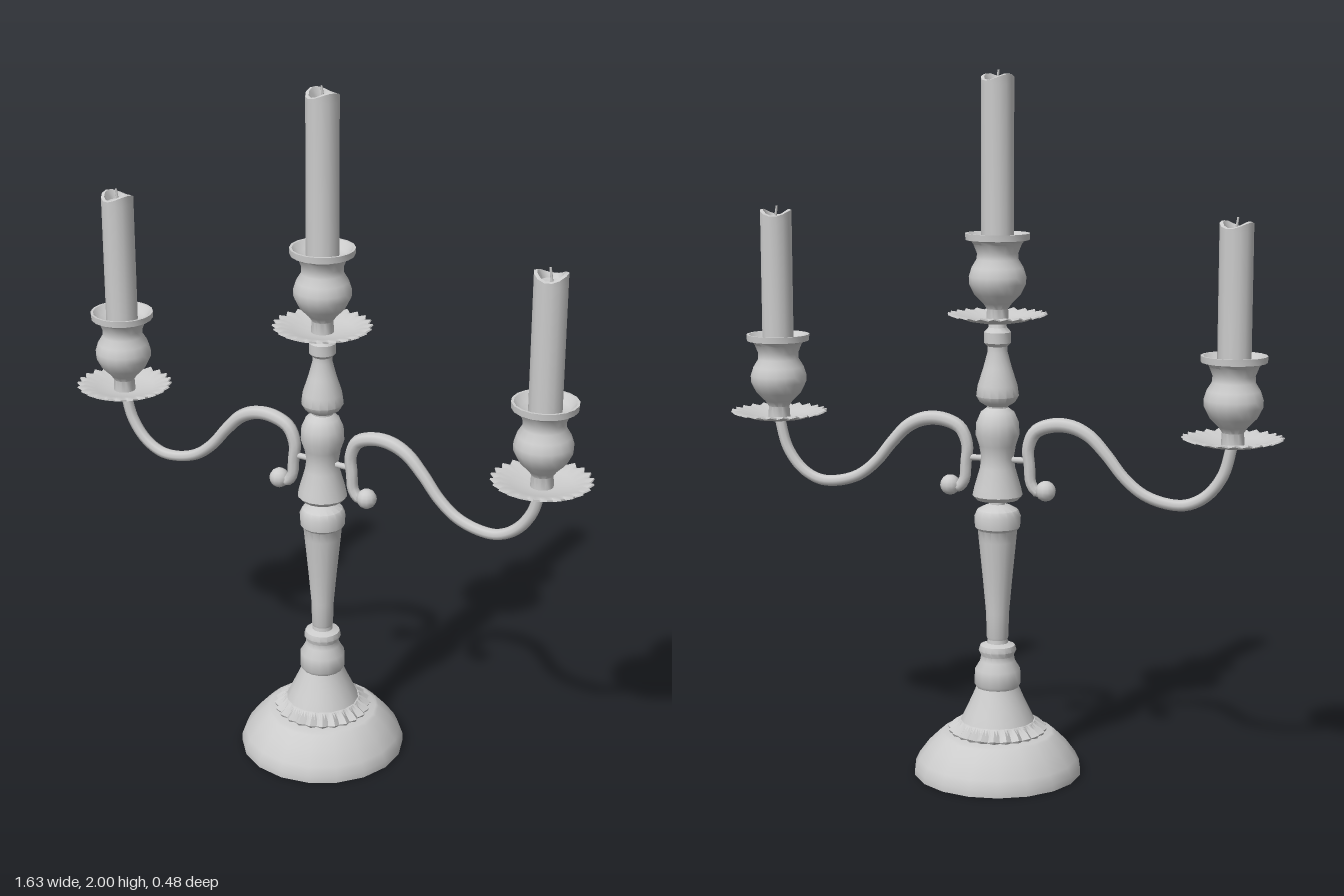
import * as THREE from 'three';
import { toCreasedNormals } from 'three/addons/utils/BufferGeometryUtils.js';

const metal = new THREE.MeshStandardMaterial({ color: 0xcccccc });
const thin = new THREE.MeshStandardMaterial({ color: 0xcccccc, side: THREE.DoubleSide });

function add(parent, name, geometry, material = metal) {
  const mesh = new THREE.Mesh(geometry, material);
  mesh.name = name;
  parent.add(mesh);
  return mesh;
}

// Turned shape from [radius, height] pairs, listed bottom to top
function lathe(profile, sides = 16) {
  return new THREE.LatheGeometry(profile.map(([r, y]) => new THREE.Vector2(r, y)), sides);
}
const turned = (profile, sides) => toCreasedNormals(lathe(profile, sides), 0.7);

// Move each vertex of a geometry by a rule
function reshape(geometry, rule) {
  const p = geometry.attributes.position;
  const v = new THREE.Vector3();
  for (let i = 0; i < p.count; i++) {
    v.fromBufferAttribute(p, i);
    rule(v);
    p.setXYZ(i, v.x, v.y, v.z);
  }
  return geometry;
}

// Turned ring whose rim beyond radius r0 is pulled into teeth
function scalloped(profile, r0, teeth, depth) {
  const g = reshape(lathe(profile, teeth * 4), v => {
    const r = Math.hypot(v.x, v.z);
    if (r < r0) return;
    const wave = 0.5 - 0.5 * Math.cos(Math.atan2(v.z, v.x) * teeth);
    const k = 1 - depth * wave;
    v.set(v.x * k, v.y - 0.006 * wave, v.z * k);
  });
  return toCreasedNormals(g, 0.6);
}

// Candle with an uneven, hollowed top and a short wick
function candle(bottom, top, phase) {
  const group = new THREE.Group();
  group.name = 'candle';
  const r = 0.046;
  const wax = lathe([[0, bottom], [r, bottom], [r, top - 0.03], [r, top - 0.01],
    [r * 0.8, top - 0.008], [r * 0.6, top - 0.026], [0, top - 0.03]], 14);
  reshape(wax, v => {
    const d = Math.hypot(v.x, v.z);
    if (v.y > top - 0.02 && d > r * 0.7) {
      v.y += 0.009 * Math.sin(2 * Math.atan2(v.z, v.x) + phase);
    }
  });
  add(group, 'wax', toCreasedNormals(wax, 0.7));
  const wick = add(group, 'wick', new THREE.CylinderGeometry(0.003, 0.004, 0.045, 6));
  wick.position.set(0, top - 0.012, 0);
  wick.rotation.z = 0.15;
  return group;
}

// Drip pan, cup and candle; the origin is the pan's rim height
function candleHolder(candleTop, phase) {
  const group = new THREE.Group();
  group.name = 'candleHolder';
  add(group, 'dripPan', scalloped([[0, -0.022], [0.04, -0.02], [0.085, -0.012], [0.115, 0.0],
    [0.14, 0.005], [0.138, 0.009], [0.113, 0.005], [0.085, -0.005], [0.04, -0.013], [0, -0.013]],
    0.125, 24, 0.09), thin);
  add(group, 'cup', turned([[0.032, -0.015], [0.03, 0.02], [0.04, 0.035], [0.065, 0.06],
    [0.08, 0.09], [0.081, 0.11], [0.073, 0.135], [0.059, 0.158], [0.058, 0.175], [0.068, 0.2],
    [0.074, 0.208], [0.09, 0.212], [0.091, 0.23], [0.084, 0.23], [0.066, 0.21], [0.04, 0.205],
    [0, 0.205]], 18));
  group.add(candle(0.2, candleTop, phase));
  return group;
}

// S-curved arm with a curled end, drawn toward +x
function arm() {
  const group = new THREE.Group();
  group.name = 'arm';
  const curve = new THREE.CatmullRomCurve3([
    [0.142, 0.83], [0.118, 0.828], [0.1, 0.85], [0.095, 0.9], [0.091, 0.95], [0.112, 0.998],
    [0.165, 1.02], [0.22, 1.018], [0.27, 0.995], [0.32, 0.945], [0.37, 0.885], [0.425, 0.842],
    [0.49, 0.821], [0.55, 0.821], [0.605, 0.85], [0.65, 0.91], [0.675, 1.0],
  ].map(([x, y]) => new THREE.Vector3(x, y, 0)));
  const steps = 72, sides = 8;
  const tube = new THREE.TubeGeometry(curve, steps, 0.017, sides);
  // Swell the tube gently over the shoulder of the curve
  const p = tube.attributes.position;
  for (let i = 0; i < p.count; i++) {
    const t = Math.floor(i / (sides + 1)) / steps;
    const c = curve.getPointAt(t);
    const k = 0.95 + 0.25 * Math.exp(-(((t - 0.3) / 0.15) ** 2));
    p.setXYZ(i, c.x + (p.getX(i) - c.x) * k, c.y + (p.getY(i) - c.y) * k, p.getZ(i) * k);
  }
  add(group, 'armTube', tube);

  const ball = add(group, 'curlBall', new THREE.SphereGeometry(0.029, 12, 8));
  ball.position.set(0.143, 0.832, 0);

  const pin = add(group, 'armPin', new THREE.CylinderGeometry(0.009, 0.009, 0.07, 8));
  pin.rotation.z = Math.PI / 2;
  pin.position.set(0.065, 0.915, 0);

  // Small leaf tip lifting off the top of the arm
  const leaf = add(group, 'leafTip', new THREE.ConeGeometry(0.016, 0.065, 6));
  leaf.position.set(0.324, 0.95, 0);
  leaf.rotation.z = -2.15;
  return group;
}

export function createModel() {
  const model = new THREE.Group();
  model.name = 'candelabrum';

  // Domed foot with a scalloped collar
  add(model, 'foot', turned([[0, 0], [0.24, 0], [0.24, 0.02], [0.228, 0.045], [0.2, 0.083],
    [0.167, 0.115], [0.158, 0.12], [0.1, 0.122]], 18));
  add(model, 'footCollar', scalloped([[0.137, 0.12], [0.143, 0.13], [0.128, 0.143],
    [0.108, 0.155], [0.09, 0.158]], 0.12, 24, 0.09), thin);

  // Stem, from the flared neck up to the vase-shaped shaft
  add(model, 'neck', turned([[0.12, 0.122], [0.111, 0.145], [0.092, 0.185], [0.073, 0.225],
    [0.061, 0.253], [0.066, 0.262], [0.065, 0.305], [0.05, 0.33], [0.047, 0.345], [0.054, 0.36],
    [0.05, 0.375], [0.03, 0.382], [0.028, 0.4]]));
  add(model, 'shaft', turned([[0.028, 0.39], [0.031, 0.4], [0.033, 0.47], [0.042, 0.57],
    [0.053, 0.68], [0.056, 0.712], [0.064, 0.72], [0.066, 0.752], [0.058, 0.77], [0.035, 0.782],
    [0.022, 0.786], [0.022, 0.805]]));

  // Hub that carries the arms, and the tapered finial above it
  add(model, 'hub', turned([[0, 0.798], [0.06, 0.8], [0.071, 0.812], [0.066, 0.835],
    [0.05, 0.89], [0.046, 0.92], [0.052, 0.955], [0.062, 0.985], [0.06, 1.02], [0.047, 1.05],
    [0.03, 1.062], [0.03, 1.08]]));
  add(model, 'finial', turned([[0.028, 1.065], [0.05, 1.078], [0.06, 1.095], [0.056, 1.125],
    [0.04, 1.175], [0.028, 1.22], [0.028, 1.235], [0.038, 1.245], [0.038, 1.275],
    [0.026, 1.288], [0.024, 1.31]]));

  const centre = candleHolder(0.665, 0.6);
  centre.name = 'centreHolder';
  centre.position.y = 1.32;
  model.add(centre);

  // Mirrored arms, each with its own holder
  for (const side of [1, -1]) {
    const a = arm();
    a.name = side > 0 ? 'leftArm' : 'rightArm';
    if (side < 0) a.rotation.y = Math.PI;
    model.add(a);
    const holder = candleHolder(0.59, side > 0 ? 2 : 1);
    holder.name = side > 0 ? 'leftHolder' : 'rightHolder';
    holder.position.set(side * 0.675, 1.01, 0);
    model.add(holder);
  }
  return model;
}
